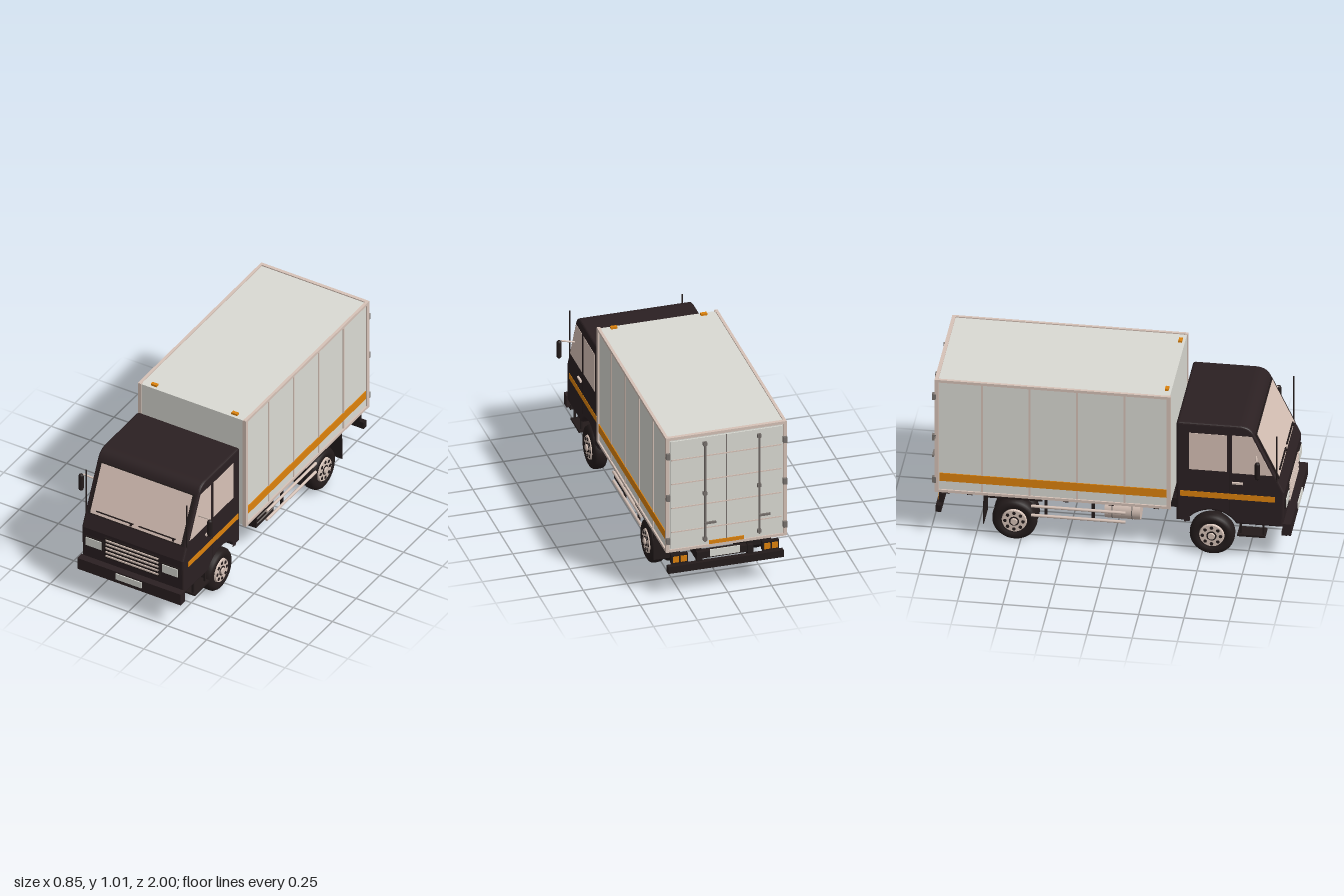
import * as THREE from 'three';

const mat = (name, color) => Object.assign(new THREE.MeshStandardMaterial({ color }), { name });
const body = mat('cab paint', 0x2b2022);
const black = mat('black rubber and steel', 0x231b1b);
const white = mat('white panel', 0xdadad3);
const beige = mat('pale metal', 0xd6c2b7);
const glass = mat('window glass', 0xd8c2b7);
const orange = mat('orange', 0xdd820c);
const grey = mat('grey steel', 0x77716d);

function add(parent, name, geo, m, x = 0, y = 0, z = 0) {
  const mesh = new THREE.Mesh(geo, m);
  mesh.name = name;
  mesh.position.set(x, y, z);
  parent.add(mesh);
  return mesh;
}
const box = (p, name, m, w, h, d, x, y, z) => add(p, name, new THREE.BoxGeometry(w, h, d), m, x, y, z);

function rod(p, name, m, r, a, b) {
  const A = new THREE.Vector3(...a), B = new THREE.Vector3(...b), d = B.clone().sub(A);
  const mesh = add(p, name, new THREE.CylinderGeometry(r, r, d.length(), 10), m);
  mesh.position.copy(A).add(B).multiplyScalar(0.5);
  mesh.quaternion.setFromUnitVectors(new THREE.Vector3(0, 1, 0), d.normalize());
  return mesh;
}

// Side profile given as (z, y) points, extruded across x
function sideExtrude(shape, width, bevel) {
  const depth = width - 2 * bevel;
  const g = new THREE.ExtrudeGeometry(shape, {
    depth, bevelEnabled: bevel > 0, bevelThickness: bevel, bevelSize: bevel, bevelOffset: -bevel,
    bevelSegments: 3, curveSegments: 20,
  });
  return g.translate(0, 0, -depth / 2).rotateY(-Math.PI / 2);
}

function group(parent, name) {
  const g = new THREE.Group();
  g.name = name;
  parent.add(g);
  return g;
}

function wheel(parent, name, side, x, z, w, rim) {
  const g = group(parent, name);
  g.position.set(side * x, 0.125, z);
  g.rotation.z = -side * Math.PI / 2;
  const h = w / 2;
  const half = [[0, h - 0.012], [0.07, h - 0.012], [0.08, h - 0.002], [0.1, h], [0.115, h - 0.008], [0.123, h - 0.02]];
  const pts = [...half.map(([r, y]) => [r, -y]), [0.125, 0], ...half.slice().reverse()];
  add(g, 'tyre', new THREE.LatheGeometry(pts.map(([r, y]) => new THREE.Vector2(r, y)), 40), black);
  if (!rim) return;
  add(g, 'rim', new THREE.CylinderGeometry(0.066, 0.07, 0.012, 32), beige, 0, h - 0.006, 0);
  for (let i = 0; i < 8; i++) {
    const a = i * Math.PI / 4;
    add(g, 'rimHole', new THREE.CylinderGeometry(0.01, 0.01, 0.003, 10), black,
      0.05 * Math.sin(a), h + 0.001, 0.05 * Math.cos(a));
  }
  add(g, 'hubRing', new THREE.CylinderGeometry(0.028, 0.028, 0.003, 20), black, 0, h + 0.001, 0);
  add(g, 'hubCap', new THREE.CylinderGeometry(0.018, 0.022, 0.014, 20), beige, 0, h + 0.004, 0);
}

function buildCab(root) {
  const cab = group(root, 'cab');
  // Shell with a wheel arch cut through the underside
  const s = new THREE.Shape();
  s.moveTo(0.36, 0.21);
  s.lineTo(0.42, 0.21);
  s.absarc(0.555, 0.125, 0.16, Math.PI - 0.56, 0.56, true);
  s.lineTo(0.95, 0.21);
  s.lineTo(0.957, 0.43);
  s.lineTo(0.79, 0.785);
  s.quadraticCurveTo(0.77, 0.832, 0.71, 0.835);
  s.lineTo(0.38, 0.835);
  s.quadraticCurveTo(0.36, 0.835, 0.36, 0.815);
  s.closePath();
  add(cab, 'cabShell', sideExtrude(s, 0.65, 0.012), body);

  // Windscreen and wipers on the sloping front
  const screen = group(cab, 'windscreen');
  screen.position.set(0, 0.642, 0.858);
  screen.rotation.x = -0.44;
  box(screen, 'windscreenSeal', black, 0.61, 0.302, 0.008, 0, 0, 0.001);
  box(screen, 'windscreenGlass', glass, 0.58, 0.286, 0.006, 0, 0, 0.004);
  for (const x of [-0.135, 0.135]) {
    box(screen, 'wiperBlade', black, 0.235, 0.006, 0.008, x, -0.123, 0.012);
    box(screen, 'wiperArm', black, 0.01, 0.016, 0.008, x + 0.105, -0.13, 0.012);
  }

  // Grille, headlights, bumper
  box(cab, 'grillePanel', black, 0.35, 0.135, 0.008, 0, 0.343, 0.957);
  for (let i = 0; i < 5; i++) box(cab, 'grilleBar', beige, 0.335, 0.009, 0.008, 0, 0.294 + i * 0.0258, 0.963);
  box(cab, 'frontBumper', body, 0.66, 0.072, 0.046, 0, 0.2, 0.971);
  box(cab, 'frontValance', black, 0.62, 0.03, 0.03, 0, 0.165, 0.955);
  box(cab, 'frontPlate', white, 0.166, 0.038, 0.006, 0, 0.208, 0.997);

  for (const k of [-1, 1]) {
    box(cab, 'headlightSurround', black, 0.115, 0.065, 0.008, k * 0.244, 0.347, 0.957);
    box(cab, 'headlight', white, 0.1, 0.052, 0.008, k * 0.244, 0.347, 0.962);
    // Side glass
    const q = new THREE.Shape([[0.667, 0.535], [0.892, 0.535], [0.778, 0.775], [0.667, 0.775]].map((p) => new THREE.Vector2(...p)));
    add(cab, 'quarterWindow', sideExtrude(q, 0.006, 0), glass, k * 0.324);
    box(cab, 'doorWindow', glass, 0.006, 0.232, 0.21, k * 0.324, 0.657, 0.535);
    box(cab, 'doorGap', black, 0.004, 0.5, 0.005, k * 0.3245, 0.53, 0.653);
    box(cab, 'cabStripe', orange, 0.008, 0.035, 0.525, k * 0.323, 0.384, 0.643);
    box(cab, 'doorHandle', beige, 0.016, 0.011, 0.06, k * 0.328, 0.474, 0.7);
    // Mirror, its arm, and the corner rod
    rod(cab, 'mirrorArm', beige, 0.005, [k * 0.315, 0.65, 0.8], [k * 0.4, 0.665, 0.815]);
    add(cab, 'mirror', new THREE.CapsuleGeometry(0.0145, 0.082, 4, 12), black, k * 0.411, 0.611, 0.82);
    rod(cab, 'cornerRod', black, 0.004, [k * 0.321, 0.5, 0.915], [k * 0.321, 0.785, 0.915]);
    // Entry step
    box(cab, 'step', black, 0.09, 0.012, 0.155, k * 0.29, 0.146, 0.775);
    for (const z of [0.715, 0.84]) box(cab, 'stepHanger', black, 0.012, 0.075, 0.01, k * 0.315, 0.182, z);
  }
}

function buildCargo(root) {
  const c = group(root, 'cargoBox');
  box(c, 'cargoPanels', white, 0.672, 0.705, 1.29, 0, 0.6425, -0.32);
  // Edge frame
  for (const k of [-1, 1]) {
    for (const z of [0.32, -0.96]) box(c, 'cornerPost', beige, 0.02, 0.715, 0.022, k * 0.335, 0.6425, z);
    for (const y of [0.293, 0.993]) box(c, 'sideRail', beige, 0.016, 0.016, 1.3, k * 0.337, y, -0.32);
    box(c, 'cargoStripe', orange, 0.008, 0.05, 1.255, k * 0.337, 0.38, -0.318);
    for (let i = 0; i < 4; i++) box(c, 'panelRib', beige, 0.008, 0.69, 0.01, k * 0.336, 0.643, 0.077 - i * 0.2625);
    box(c, 'roofMarker', orange, 0.036, 0.012, 0.02, k * 0.257, 1.003, 0.3);
    for (const y of [0.36, 0.63, 0.89]) box(c, 'doorHinge', grey, 0.022, 0.036, 0.022, k * 0.334, y, -0.975);
  }
  for (const y of [0.293, 0.993]) box(c, 'rearRail', beige, 0.68, 0.016, 0.02, 0, y, -0.962);
  // Rear doors with seams, lock rods and handles
  box(c, 'rearDoors', white, 0.64, 0.665, 0.01, 0, 0.643, -0.967);
  box(c, 'doorSeam', grey, 0.006, 0.665, 0.006, 0, 0.643, -0.971);
  for (let i = 0; i < 4; i++) box(c, 'doorRib', beige, 0.63, 0.007, 0.006, 0, 0.41 + i * 0.15, -0.972);
  for (const x of [-0.185, 0.125]) {
    rod(c, 'lockRod', grey, 0.006, [x, 0.33, -0.984], [x, 0.955, -0.984]);
    for (const y of [0.345, 0.63, 0.94]) box(c, 'rodBracket', grey, 0.022, 0.02, 0.018, x, y, -0.98);
    box(c, 'lockHandle', grey, 0.065, 0.012, 0.01, x - 0.027, 0.45, -0.995);
  }
  box(c, 'rearMarker', orange, 0.2, 0.022, 0.006, 0, 0.315, -0.974);
}

function buildChassis(root) {
  const c = group(root, 'chassis');
  for (const k of [-1, 1]) {
    box(c, 'frameRail', black, 0.03, 0.055, 1.84, k * 0.145, 0.2175, -0.03);
    box(c, 'subframeRail', black, 0.03, 0.042, 1.2, k * 0.145, 0.265, -0.33);
    for (const y of [0.17, 0.228]) rod(c, 'sideGuard', beige, 0.0085, [k * 0.325, y, 0.08], [k * 0.325, y, -0.44]);
    for (const z of [-0.1, -0.36]) box(c, 'guardPost', black, 0.012, 0.13, 0.016, k * 0.314, 0.225, z);
    box(c, 'rearMudguard', black, 0.17, 0.01, 0.315, k * 0.255, 0.275, -0.535);
    box(c, 'mudFlap', black, 0.15, 0.135, 0.006, k * 0.26, 0.165, -0.703);
    box(c, 'mudFlapHanger', black, 0.15, 0.05, 0.01, k * 0.26, 0.255, -0.697);
    box(c, 'tailLampHousing', black, 0.095, 0.055, 0.025, k * 0.26, 0.225, -0.94);
    for (const o of [-0.022, 0.022]) box(c, 'tailLamp', orange, 0.034, 0.036, 0.006, k * 0.26 + o, 0.226, -0.954);
    box(c, 'bumperBracket', black, 0.03, 0.06, 0.03, k * 0.145, 0.195, -0.93);
  }
  for (const z of [0.85, 0.3, 0.05, -0.2, -0.42, -0.68, -0.92]) box(c, 'crossMember', black, 0.28, 0.04, 0.035, 0, 0.218, z);
  for (const z of [0.25, 0, -0.25, -0.78]) box(c, 'floorBeam', black, 0.65, 0.018, 0.03, 0, 0.277, z);
  box(c, 'rearBumper', black, 0.66, 0.042, 0.03, 0, 0.17, -0.952);
  box(c, 'rearPlate', white, 0.17, 0.042, 0.006, 0, 0.23, -0.945);
  box(c, 'engine', black, 0.24, 0.08, 0.22, 0, 0.185, 0.76);

  // Battery box on the left, fuel tank on the right
  box(c, 'batteryBox', black, 0.12, 0.125, 0.185, 0.24, 0.21, 0.057);
  for (let i = 0; i < 3; i++) box(c, 'batteryRib', grey, 0.006, 0.006, 0.165, 0.301, 0.175 + i * 0.03, 0.057);
  const tank = rod(c, 'fuelTank', beige, 0.065, [-0.23, 0.21, -0.04], [-0.23, 0.21, 0.155]);
  tank.geometry = new THREE.CylinderGeometry(0.065, 0.065, 0.195, 32);
  for (const z of [0, 0.11]) {
    add(c, 'tankStrap', new THREE.TorusGeometry(0.065, 0.003, 6, 32), grey, -0.23, 0.21, z);
  }

  // Axles, and wheels doubled at the rear
  for (const z of [0.555, -0.535]) rod(c, 'axle', black, 0.022, [-0.25, 0.125, z], [0.25, 0.125, z]);
  add(c, 'differential', new THREE.SphereGeometry(0.05, 20, 14), black, 0, 0.125, -0.535);
  rod(c, 'driveShaft', black, 0.014, [0, 0.185, 0.66], [0, 0.13, -0.52]);
  for (const k of [-1, 1]) {
    wheel(c, 'frontWheel', k, 0.286, 0.555, 0.084, true);
    wheel(c, 'rearOuterWheel', k, 0.286, -0.535, 0.084, true);
    wheel(c, 'rearInnerWheel', k, 0.207, -0.535, 0.074, false);
  }
}

export function createModel() {
  const root = new THREE.Group();
  root.name = 'boxTruck';
  buildCab(root);
  buildCargo(root);
  buildChassis(root);
  return root;
}
